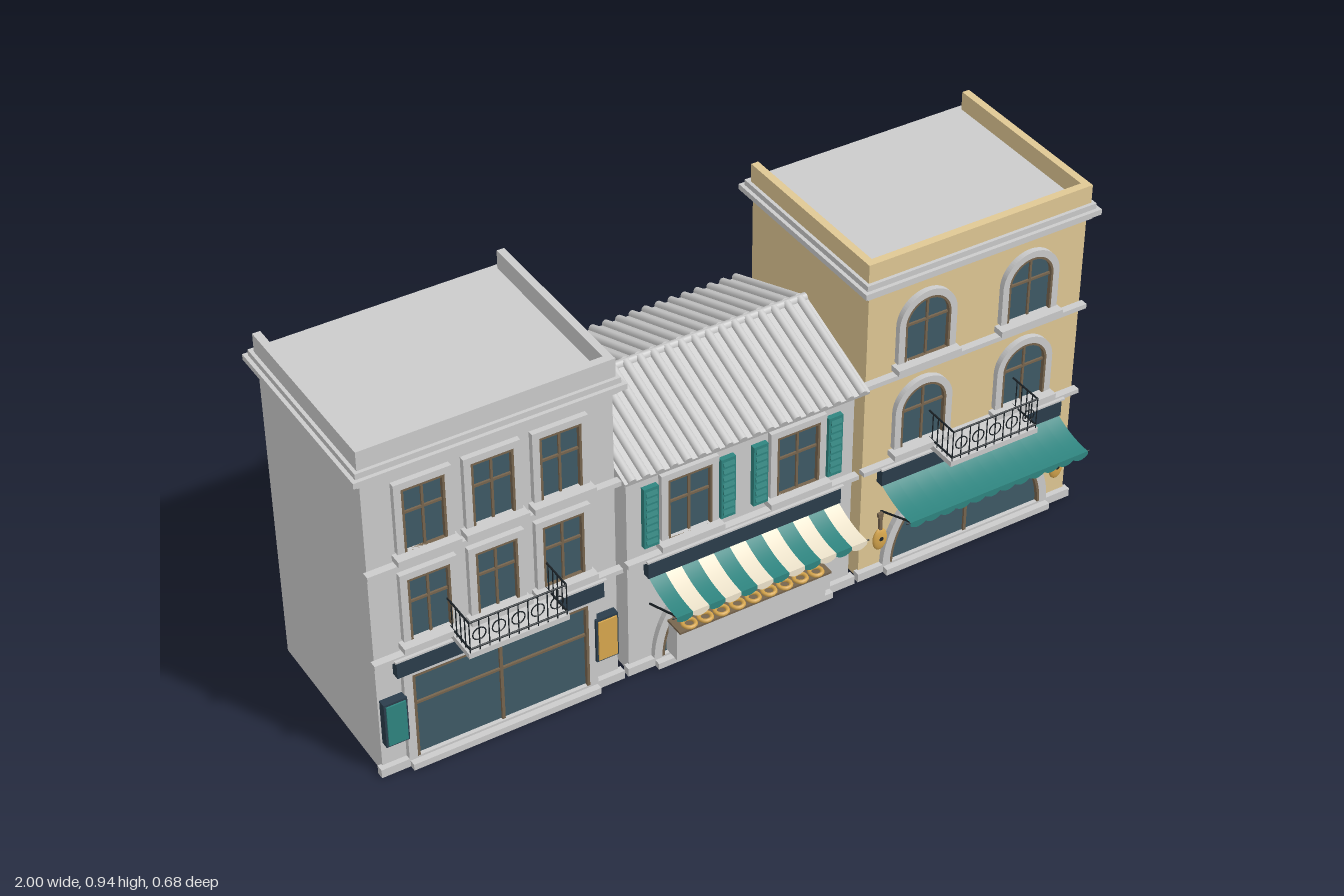
import * as THREE from 'three';

const mat = (color) => new THREE.MeshStandardMaterial({ color, side: THREE.DoubleSide });
const M = {
  grey: mat(0xcccccc), sand: mat(0xe0c894), glass: mat(0x3f5a66), navy: mat(0x2b3d4c), teal: mat(0x2f8580),
  cream: mat(0xeee4cc), gold: mat(0xd9a84e), bronze: mat(0x77654e), iron: mat(0x1c2328),
};
const FACE = 0.19, BACK = -0.31, WIDTH = 0.63;

function add(parent, name, geometry, material, x = 0, y = 0, z = 0) {
  const mesh = new THREE.Mesh(geometry, material);
  mesh.name = name;
  mesh.position.set(x, y, z);
  parent.add(mesh);
  return mesh;
}

// Box given by its ranges on each axis
function box(parent, name, material, x0, x1, y0, y1, z0, z1) {
  return add(parent, name, new THREE.BoxGeometry(x1 - x0, y1 - y0, z1 - z0), material,
    (x0 + x1) / 2, (y0 + y1) / 2, (z0 + z1) / 2);
}

// Thin round bar between two points
function bar(parent, name, material, a, b, r = 0.002) {
  const p = new THREE.Vector3(...a), q = new THREE.Vector3(...b);
  const mesh = add(parent, name, new THREE.CylinderGeometry(r, r, p.distanceTo(q), 6), material);
  mesh.position.copy(p).add(q).multiplyScalar(0.5);
  mesh.quaternion.setFromUnitVectors(new THREE.Vector3(0, 1, 0), q.sub(p).normalize());
  return mesh;
}

function group(parent, name, x = 0, y = 0, z = 0) {
  const g = new THREE.Group();
  g.name = name;
  g.position.set(x, y, z);
  parent.add(g);
  return g;
}

// Opening outline standing on y = 0, with a square or round head
function outline(w, h, arched, Type = THREE.Shape) {
  const s = new Type(), r = w / 2;
  s.moveTo(-r, 0).lineTo(r, 0);
  if (arched) s.lineTo(r, h - r).absarc(0, h - r, r, 0, Math.PI, false);
  else s.lineTo(r, h).lineTo(-r, h);
  s.lineTo(-r, 0);
  return s;
}
const extrude = (shape, depth) => new THREE.ExtrudeGeometry(shape, { depth, bevelEnabled: false, curveSegments: 20 });

// Frame with glass behind it
function opening(g, w, h, t, arched, material) {
  const frame = outline(w + 2 * t, h + t, arched);
  frame.holes.push(outline(w, h, arched, THREE.Path));
  add(g, 'frame', extrude(frame, 0.015), material);
  add(g, 'glass', extrude(outline(w, h, arched), 0.004), M.glass);
}

function windowUnit(parent, x, y, w, h, arched) {
  const g = group(parent, 'window', x, y, FACE);
  opening(g, w, h, 0.018, arched, M.grey);
  opening(g, w - 0.012, h - 0.006, 0.006, arched, M.bronze);
  box(g, 'mullion', M.bronze, -0.003, 0.003, 0, h, 0.003, 0.009);
  box(g, 'transom', M.bronze, -w / 2, w / 2, h * 0.58, h * 0.58 + 0.006, 0.003, 0.009);
  const s = w / 2 + 0.026;
  box(g, 'sill', M.grey, -s, s, -0.022, -0.006, 0, 0.032);
  return g;
}

// Louvred shutters on both sides of a window
function shutters(g) {
  for (const side of [-1, 1]) {
    const s = group(g, 'shutter', side * 0.105, 0, 0);
    box(s, 'shutterPanel', M.teal, -0.02, 0.02, -0.005, 0.17, 0, 0.014);
    for (let i = 0; i < 8; i++) {
      const slat = box(s, 'slat', M.teal, -0.015, 0.015, 0, 0.012, 0.012, 0.017);
      slat.position.y = 0.012 + i * 0.0205;
      slat.rotation.x = -0.35;
    }
  }
}

function shopfront(parent, w, h, arched) {
  const g = group(parent, 'shopfront', 0, 0.022, FACE);
  opening(g, w, h, 0.022, arched, M.grey);
  opening(g, w - 0.014, h - 0.007, 0.007, arched, M.bronze);
  box(g, 'mullion', M.bronze, -0.004, 0.004, 0, h, 0.003, 0.01);
  const y = h * 0.62, half = arched ? Math.sqrt(w * w / 4 - y * y) : w / 2;
  box(g, 'transom', M.bronze, -half, half, y, y + 0.006, 0.003, 0.01);
}

function balcony(parent) {
  const g = group(parent, 'balcony', 0, 0.345, FACE);
  const w = 0.125, d = 0.105, top = 0.103, low = 0.025;
  box(g, 'balconySlab', M.grey, -w - 0.005, w + 0.005, 0, 0.015, 0, d + 0.003);
  for (const s of [-1, 1]) {
    box(g, 'bracket', M.grey, s * 0.09 - 0.012, s * 0.09 + 0.012, -0.035, 0, 0, 0.055);
    for (const y of [low, top]) bar(g, 'sideRail', M.iron, [s * w, y, 0], [s * w, y, d], 0.0025);
    for (let i = 1; i < 5; i++) bar(g, 'sideBaluster', M.iron, [s * w, 0.015, d * i / 5], [s * w, top, d * i / 5], 0.0015);
  }
  for (const y of [low, top]) bar(g, 'frontRail', M.iron, [-w, y, d], [w, y, d], 0.0025);
  for (let i = 0; i <= 10; i++) {
    const x = -w + i * w / 5;
    bar(g, 'baluster', M.iron, [x, 0.015, d], [x, top, d], 0.0015);
    if (i % 2) add(g, 'railRing', new THREE.TorusGeometry(0.017, 0.0016, 5, 16), M.iron, x, 0.062, d);
  }
}

// Sagging cloth from wall to front edge, in strips with a scalloped valance
function awning(parent, colors) {
  const g = group(parent, 'awning'), half = 0.267, n = 12, sw = 2 * half / n;
  const curve = new THREE.QuadraticBezierCurve(new THREE.Vector2(0.203, 0.288),
    new THREE.Vector2(0.265, 0.252), new THREE.Vector2(0.333, 0.254));
  for (let i = 0; i < n; i++) {
    const material = colors[i % colors.length], x = -half + (i + 0.5) * sw;
    const cloth = new THREE.PlaneGeometry(sw, 1, 1, 10), p = cloth.attributes.position;
    for (let k = 0; k < p.count; k++) {
      const c = curve.getPoint(0.5 - p.getY(k));
      p.setXYZ(k, p.getX(k), c.y, c.x);
    }
    cloth.computeVertexNormals();
    add(g, 'awningStrip', cloth, material, x);
    const flap = new THREE.Shape();
    flap.moveTo(-sw / 2, 0).lineTo(-sw / 2, -0.011).quadraticCurveTo(0, -0.029, sw / 2, -0.011).lineTo(sw / 2, 0);
    add(g, 'valance', new THREE.ShapeGeometry(flap, 6), material, x, 0.254, 0.333);
  }
  for (const s of [-1, 1]) bar(g, 'awningArm', M.iron, [s * 0.26, 0.197, 0.2], [s * 0.26, 0.25, 0.328], 0.003);
  bar(g, 'frontPole', M.iron, [-0.275, 0.25, 0.328], [0.275, 0.25, 0.328], 0.002);
}

// Shared lower storey trim
function baseTrim(g) {
  const h = WIDTH / 2;
  box(g, 'plinth', M.grey, -h - 0.01, h + 0.01, 0, 0.024, 0.185, 0.205);
  box(g, 'doorStep', M.grey, -0.25, 0.25, 0, 0.018, 0.19, 0.222);
  box(g, 'stringCourse', M.grey, -h - 0.008, h + 0.008, 0.334, 0.346, FACE, 0.21);
  box(g, 'signBoard', M.navy, -0.27, 0.27, 0.286, 0.336, FACE, 0.212);
  box(g, 'signTrim', M.grey, -0.275, 0.275, 0.336, 0.341, FACE, 0.218);
}

// Tall house with cornice and a parapet that is open at the back
function tallHouse(root, name, x, wall) {
  const g = group(root, name, x), h = WIDTH / 2, p = h + 0.006;
  box(g, 'walls', wall, -h, h, 0, 0.89, BACK, FACE);
  for (const [y, o] of [[0.85, 0.01], [0.865, 0.025], [0.88, 0.015]])
    box(g, 'cornice', M.grey, -h - o, h + o, y, y + 0.015, BACK - o, FACE + o);
  for (const s of [-1, 1])
    box(g, 'sideParapet', wall, s * (p - 0.01) - 0.01, s * (p - 0.01) + 0.01, 0.894, 0.945, BACK, FACE);
  box(g, 'frontParapet', wall, -p, p, 0.894, 0.945, 0.175, 0.196);
  box(g, 'upperCourse', M.grey, -h - 0.008, h + 0.008, 0.593, 0.606, FACE, 0.21);
  baseTrim(g);
  balcony(g);
  return g;
}

function leftHouse(root) {
  const g = tallHouse(root, 'greyHouse', -0.66, M.grey);
  for (const y of [0.633, 0.378])
    for (const x of [-0.172, 0, 0.172]) windowUnit(g, x, y, 0.107, 0.175, false);
  shopfront(g, 0.46, 0.25, false);
  // Poster cases beside the shop window
  for (const [x, m] of [[-0.28, M.teal], [0.276, M.gold]]) {
    box(g, 'posterFrame', M.navy, x - 0.03, x + 0.03, 0.093, 0.222, FACE, 0.212);
    box(g, 'poster', m, x - 0.025, x + 0.025, 0.099, 0.216, 0.212, 0.216);
  }
}

function rightHouse(root) {
  const g = tallHouse(root, 'sandHouse', 0.66, M.sand);
  for (const y of [0.633, 0.378])
    for (const x of [-0.15, 0.15]) windowUnit(g, x, y, 0.13, 0.168, true);
  shopfront(g, 0.46, 0.23, true);
  awning(g, [M.teal]);
  // Hanging oval ornaments
  for (const x of [-0.27, 0.268]) {
    const o = group(g, 'hangingOrnament', x, 0.122, 0.213);
    add(o, 'ovalBody', new THREE.SphereGeometry(1, 20, 12), M.gold).scale.set(0.021, 0.033, 0.008);
    box(o, 'neck', M.bronze, -0.004, 0.004, 0.03, 0.07, -0.004, 0.004);
    box(o, 'neckHead', M.bronze, -0.007, 0.007, 0.068, 0.08, -0.006, 0.003);
    add(o, 'ovalHole', new THREE.CylinderGeometry(0.006, 0.006, 0.002, 14), M.iron, 0, 0.004, 0.0075).rotation.x = Math.PI / 2;
  }
}

function middleHouse(root) {
  const g = group(root, 'middleHouse'), h = WIDTH / 2;
  // Walls with gable ends, extruded along x
  const s = new THREE.Shape();
  s.moveTo(-FACE, 0).lineTo(-BACK, 0).lineTo(-BACK, 0.6).lineTo(0.06, 0.695).lineTo(-FACE, 0.6);
  const walls = add(g, 'walls', extrude(s, WIDTH), M.grey, -h);
  walls.rotation.y = Math.PI / 2;
  // Ribbed roof slopes
  const run = 0.28, rise = 0.108, len = Math.hypot(run, rise), ang = Math.atan2(rise, run);
  for (const side of [1, -1]) {
    const slope = group(g, 'roofSlope', 0, 0.599 + rise / 2, -0.058 + side * run / 2);
    slope.rotation.x = side * ang;
    box(slope, 'roofSlab', M.grey, -0.336, 0.336, -0.006, 0.004, -len / 2, len / 2);
    for (let i = 0; i < 18; i++) {
      const rib = add(slope, 'tileRib', new THREE.CylinderGeometry(0.011, 0.011, len, 8, 1, false, -Math.PI / 2, Math.PI),
        M.grey, -0.316 + i * 0.0372, 0.004, 0);
      rib.rotation.x = -Math.PI / 2;
    }
  }
  bar(g, 'ridgeCap', M.grey, [-0.336, 0.707, -0.058], [0.336, 0.707, -0.058], 0.012);
  box(g, 'eaveBand', M.grey, -h, h, 0.582, 0.6, FACE, 0.205);
  baseTrim(g);
  for (const x of [-0.15, 0.15]) shutters(windowUnit(g, x, 0.378, 0.12, 0.172, false));
  shopfront(g, 0.46, 0.23, true);
  awning(g, [M.teal, M.cream]);
  // Counter with a tray of bread rings
  box(g, 'counter', M.grey, -0.212, 0.212, 0.028, 0.124, FACE, 0.243);
  box(g, 'tray', M.bronze, -0.215, 0.215, 0.124, 0.13, 0.2, 0.262);
  for (let i = 0; i < 9; i++)
    add(g, 'breadRing', new THREE.TorusGeometry(0.016, 0.0055, 6, 14), M.gold, -0.18 + i * 0.045, 0.134, 0.246).rotation.x = Math.PI / 2;
}

export function createModel() {
  const root = new THREE.Group();
  root.name = 'shopRow';
  leftHouse(root);
  middleHouse(root);
  rightHouse(root);
  return root;
}
